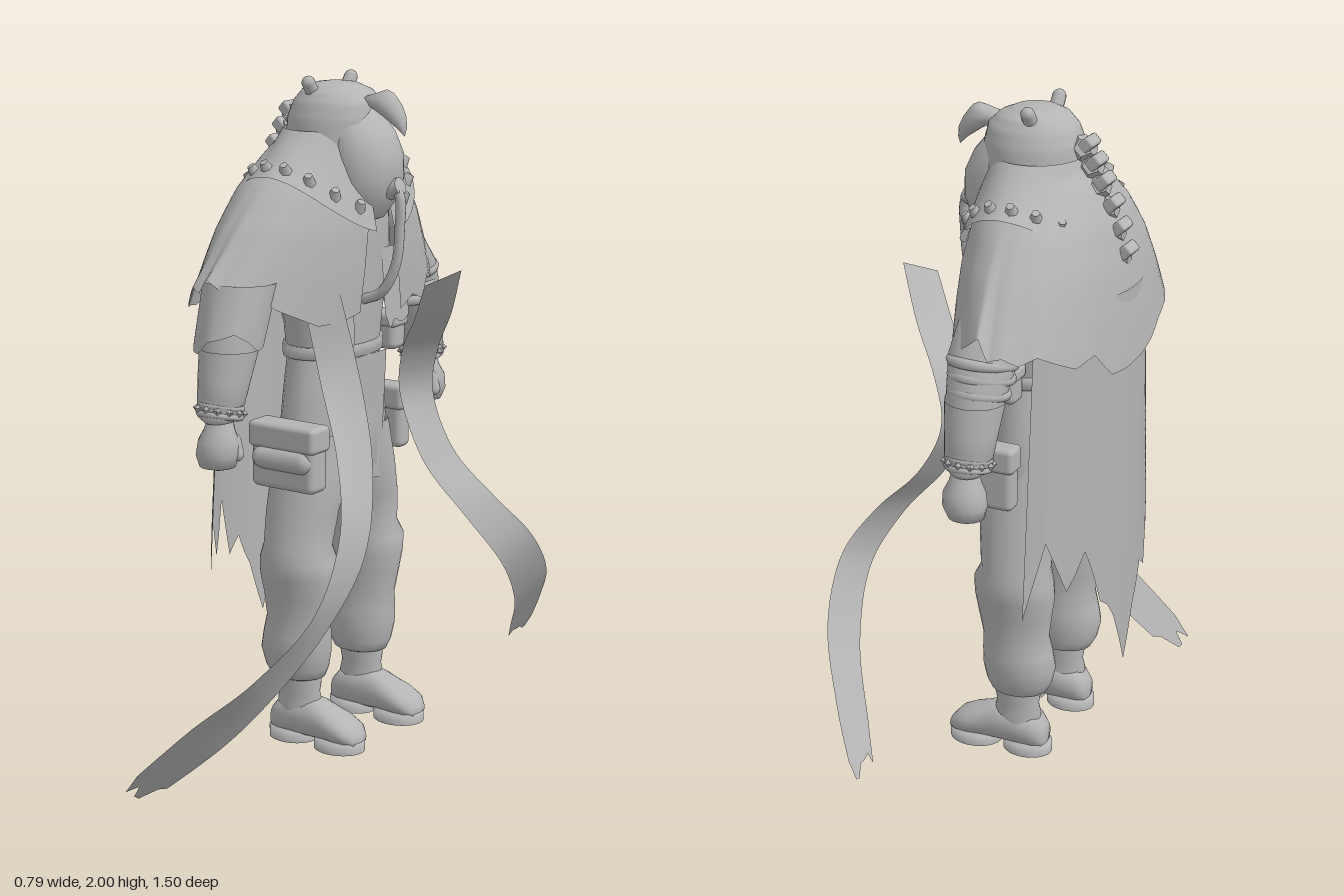
import * as THREE from 'three';
import { RoundedBoxGeometry } from 'three/addons/geometries/RoundedBoxGeometry.js';

const V = (a) => new THREE.Vector3(...a);
const lerp = THREE.MathUtils.lerp;
// Repeatable ragged value 0..1 with straight teeth between hashed points
const hash = (n) => { const s = Math.sin(n * 127.1 + 3.7) * 43758.5453; return s - Math.floor(s); };
const jag = (t) => { const i = Math.floor(t); return lerp(hash(i), hash(i + 1), t - i); };

// Surface from f(u, v) -> [x, y, z]; closed joins u = 1 to u = 0
function grid(nu, nv, f, closed = false) {
  const pos = [], idx = [], cols = closed ? nu : nu + 1;
  for (let j = 0; j <= nv; j++)
    for (let i = 0; i < cols; i++) pos.push(...f(i / nu, j / nv));
  for (let j = 0; j < nv; j++)
    for (let i = 0; i < nu; i++) {
      const a = j * cols + i, b = j * cols + ((i + 1) % cols), c = a + cols, d = b + cols;
      idx.push(a, b, c, b, d, c);
    }
  const g = new THREE.BufferGeometry();
  g.setAttribute('position', new THREE.Float32BufferAttribute(pos, 3));
  g.setIndex(idx);
  g.computeVertexNormals();
  return g;
}

// Linear interpolation through rows of values
function sample(rows, t) {
  const k = Math.min(t * (rows.length - 1), rows.length - 1.0001), i = Math.floor(k);
  return rows[i].map((a, n) => lerp(a, rows[i + 1][n], k - i));
}

// Elliptical loft through sections [y, centreX, centreZ, radiusX, radiusZ]
function loft(rows, sides = 28) {
  return grid(sides, rows.length - 1, (u, v) => {
    const [y, cx, cz, rx, rz] = rows[Math.round(v * (rows.length - 1))], a = u * Math.PI * 2;
    return [cx + rx * Math.cos(a), y, cz + rz * Math.sin(a)];
  }, true);
}

// Torn ribbon along points, each with its half-width vector
function ribbon(points, widths, seed) {
  const path = new THREE.CatmullRomCurve3(points.map(V)), wide = new THREE.CatmullRomCurve3(widths.map(V));
  return grid(12, 60, (u, v) => {
    const t = v * (1 - 0.06 * jag(u * 6 + seed));
    return path.getPoint(t).addScaledVector(wide.getPoint(t), u * 2 - 1).toArray();
  });
}

export function createModel() {
  const root = new THREE.Group();
  const grey = new THREE.MeshStandardMaterial({ color: 0xb4b4b4, side: THREE.DoubleSide });
  grey.name = 'plain grey';
  const add = (name, geo, p = [0, 0, 0], r = [0, 0, 0], parent = root) => {
    const m = new THREE.Mesh(geo, grey);
    m.name = name;
    m.position.set(...p);
    m.rotation.set(...r);
    parent.add(m);
    return m;
  };

  // Body
  add('torso', loft([[1.18, -.08, 0, .115, .16], [1.3, -.08, 0, .12, .18], [1.5, -.1, 0, .15, .23],
    [1.65, -.1, 0, .15, .22], [1.75, -.09, 0, .11, .15], [1.8, -.08, 0, 0, 0]]));
  add('hips', loft([[.76, -.08, 0, 0, 0], [.79, -.08, 0, .07, .15], [.86, -.08, 0, .115, .2], [1, -.08, 0, .12, .205],
    [1.12, -.08, 0, .115, .185], [1.22, -.08, 0, .11, .165]]));
  add('belt', loft([[1.2, -.08, 0, .11, .16], [1.2, -.08, 0, .125, .18], [1.235, -.08, 0, .125, .18], [1.235, -.08, 0, .11, .16]]));

  // Rounded boot upper from sections [x, top, halfWidth]
  const bootRows = [[-.182, .1, .0], [-.178, .14, .035], [-.15, .17, .055], [-.08, .185, .06], [-.02, .182, .058], [.02, .165, .06],
    [.06, .15, .064], [.1, .13, .056], [.122, .105, .035], [.128, .085, 0]];
  const bootGeo = grid(20, bootRows.length - 1, (u, v) => {
    const [x, top, w] = bootRows[Math.round(v * (bootRows.length - 1))], a = u * Math.PI * 2, h = (top - .065) / 2;
    return [x, .065 + h + h * Math.sin(a), w * Math.sign(Math.cos(a)) * Math.pow(Math.abs(Math.cos(a)), .75)];
  }, true);
  const pad = (x, rx, rz) => loft([[.045, x, 0, 0, 0], [.045, x, 0, rx, rz], [.045, x, 0, rx, rz], [.078, x, 0, rx, rz], [.08, x, 0, 0, 0]]);

  for (const s of [1, -1]) {
    const side = s < 0 ? 'left' : 'right';
    // Legs and boots
    add(side + 'Trouser', loft([[.24, -.09, s * .158, .05, .045], [.25, -.095, s * .158, .085, .068], [.28, -.097, s * .16, .1, .08],
      [.33, -.098, s * .163, .11, .09], [.38, -.093, s * .164, .106, .087], [.43, -.088, s * .164, .1, .081], [.5, -.085, s * .165, .112, .086],
      [.56, -.085, s * .168, .121, .096], [.61, -.083, s * .17, .119, .102], [.65, -.088, s * .166, .104, .093], [.75, -.083, s * .15, .11, .098],
      [.85, -.08, s * .12, .118, .1], [.98, -.08, s * .1, .11, .09]]));
    add(side + 'Ankle', loft([[.12, -.09, s * .157, .07, .052], [.17, -.09, s * .157, .072, .05], [.2, -.09, s * .157, .065, .045], [.23, -.09, s * .157, .07, .05], [.27, -.09, s * .157, .066, .046]]));
    add(side + 'Boot', bootGeo, [0, 0, s * .153]);
    add(side + 'Heel', pad(-.12, .075, .06), [0, 0, s * .153]);
    add(side + 'Sole', pad(.05, .08, .067), [0, 0, s * .153]);

    // Arms, bracers and fists
    add(side + 'Arm', loft([[1.6, -.11, s * .24, .07, .05], [1.5, -.11, s * .335, .095, .08], [1.4, -.11, s * .405, .1, .092], [1.3, -.105, s * .445, .085, .08],
      [1.22, -.105, s * .475, .075, .07], [1.1, -.105, s * .505, .062, .06], [1.08, -.105, s * .508, .04, .04]]));
    add(side + 'Bracer', loft([[1.28, -.105, s * .456, .086, .08], [1.2, -.105, s * .478, .076, .073], [1.13, -.105, s * .495, .068, .064], [1.13, -.105, s * .495, .05, .05]]));
    add(side + 'Hand', loft([[1.1, -.1, s * .505, .035, .032], [1.06, -.1, s * .51, .045, .042], [1.03, -.1, s * .514, .06, .055],
      [.99, -.102, s * .516, .063, .06], [.955, -.105, s * .514, .052, .048], [.94, -.105, s * .512, 0, 0]], 16));
    add(side + 'Thumb', new THREE.CapsuleGeometry(.02, .04, 4, 10), [-.06, 1.01, s * .49], [0, 0, .25]);
    const wrist = new THREE.Group();
    wrist.name = side + 'Bracelet';
    wrist.position.set(-.105, 1.11, s * .498);
    wrist.rotation.x = -s * .22;
    root.add(wrist);
    for (const y of [-.012, .012]) add('band', new THREE.TorusGeometry(.058, .01, 8, 24), [0, y, 0], [Math.PI / 2, 0, 0], wrist);
    for (let i = 0; i < 12; i++) {
      const a = i / 12 * Math.PI * 2;
      add('bead', new THREE.OctahedronGeometry(.012), [.066 * Math.cos(a), 0, .066 * Math.sin(a)], [0, -a, 0], wrist);
    }

    // Short horns on the hood
    add(side + 'Horn', new THREE.CapsuleGeometry(.02, .06, 4, 12), [-.09, 1.955, s * .085], [s * .6, 0, 0]);
  }

  // Elbow rings on one arm, torn sleeve on the other
  for (const [y, z, r] of [[1.375, -.41, .086], [1.335, -.42, .08], [1.295, -.437, .074]])
    add('elbowRing', new THREE.TorusGeometry(r, .016, 8, 28), [-.107, y, z], [Math.PI / 2 + .2, 0, 0]);
  add('tornSleeve', grid(48, 6, (u, v) => {
    const a = u * Math.PI * 2, y = lerp(1.46, 1.27 + .08 * jag((u % 1) * 16), v);
    return [-.11 + lerp(.11, .1, v) * Math.cos(a), y, lerp(.395, .45, v) + .096 * Math.sin(a)];
  }));

  // Shoulder mantle with ragged hem, open at the front
  const mantleRows = [[1.83, -.09, .13, .15], [1.77, -.11, .155, .22], [1.69, -.12, .195, .315], [1.6, -.13, .222, .395], [1.52, -.14, .235, .455], [1.45, -.15, .243, .51]];
  add('mantle', grid(144, 20, (u, v) => {
    const gap = lerp(.1, .2, v), a = lerp(gap, Math.PI * 2 - gap, u), c = Math.cos(a);
    const [y, cx, rx, rz] = sample(mantleRows, v);
    const drop = Math.pow(v, 3) * (.13 * c * c + .07 * (jag(u * 36) - .4));
    // Slightly pointed toward the shoulders
    return [cx + rx * c * Math.pow(Math.abs(c), .15 * v), y - drop, rz * Math.sin(a)];
  }));

  // Studded collar lying on the mantle, dipping lowest at the throat
  const collarAt = (a, v) => {
    const c = Math.cos(a), dip = (c > 0 ? .17 : .13) * c * c;
    return [lerp(-.085, -.095, v) + lerp(.13, .22, v) * c, lerp(1.85, 1.735 - dip, v) - .02 * v * (1 - v), lerp(.15, .295, v) * Math.sin(a)];
  };
  add('collar', grid(72, 8, (u, v) => collarAt(lerp(.22, Math.PI * 2 - .22, u), v)));
  for (let i = 0; i < 18; i++) {
    const a = lerp(.42, Math.PI * 2 - .42, i / 17), [x, y, z] = collarAt(a, .8);
    add('collarStud', new THREE.CylinderGeometry(.012, .02, .03, 6), [x, y + .008, z], [.6 * Math.sin(a), 0, -.6 * Math.cos(a)]);
  }

  // Knobbly spine ridge down the back
  const spine = new THREE.CatmullRomCurve3([[-.21, 1.87, 0], [-.25, 1.79, 0], [-.295, 1.69, 0], [-.33, 1.58, 0]].map(V));
  for (let i = 0; i < 6; i++) {
    const p = spine.getPoint(i / 5);
    add('vertebra', new THREE.DodecahedronGeometry(.042 - .002 * i), p.toArray(), [0, 0, -.8 + .07 * i]);
    add('spineKnob', new RoundedBoxGeometry(.035, .045, .065, 1, .008), [p.x - .018, p.y + .018, 0], [0, 0, .8]);
  }

  // Hood open around the face; rows are [y, centreX, radiusX, radiusZ, frontGap]
  const hoodRows = [[1.982, -.07, 0, 0, 0], [1.974, -.068, .06, .06, 0], [1.955, -.064, .1, .1, 0], [1.925, -.062, .128, .122, 0], [1.88, -.065, .142, .138, .45],
    [1.82, -.067, .145, .145, .68], [1.76, -.075, .148, .152, .75], [1.7, -.085, .15, .158, .85], [1.6, -.09, .15, .16, .8]];
  add('hood', grid(48, 32, (u, v) => {
    const [y, cx, rx, rz, gap] = sample(hoodRows, v), a = lerp(gap, Math.PI * 2 - gap, u);
    return [cx + rx * Math.cos(a), y, rz * Math.sin(a)];
  }));

  // Masked face, beak and breathing hose
  add('mask', loft([[1.58, .03, 0, 0, 0], [1.6, .03, 0, .055, .06], [1.65, .035, 0, .085, .1], [1.71, .035, 0, .105, .118], [1.78, .03, 0, .108, .12],
    [1.84, .015, 0, .095, .112], [1.9, -.01, 0, .07, .09], [1.94, -.03, 0, 0, 0]]));
  add('beak', loft([[1.837, .168, 0, 0, 0], [1.86, .158, 0, .014, .016], [1.89, .135, 0, .034, .03], [1.92, .1, 0, .055, .038], [1.94, .085, 0, .055, .035], [1.955, .103, 0, .024, .02], [1.965, .108, 0, 0, 0]], 16));
  add('mouthpiece', new THREE.CylinderGeometry(.025, .03, .04, 16), [.135, 1.69, 0], [0, 0, -1.2]);
  add('hose', new THREE.TubeGeometry(new THREE.CatmullRomCurve3([[.13, 1.69, 0], [.155, 1.67, .005], [.158, 1.58, .008],
    [.145, 1.47, .01], [.1, 1.39, .015], [.03, 1.36, .015]].map(V)), 40, .015, 10));

  // Long back cape with torn bottom
  const hem = [[.62], [.82], [.66], [.78], [.6], [.52], [.33], [.5], [.62], [.56], [.74], [.6], [.76], [.58]];
  add('cape', grid(78, 24, (u, v) => {
    const s = u * 2 - 1, y = lerp(1.5, sample(hem, u)[0] + .03 * jag(u * 26) - .015, v);
    return [-.372 + .15 * s * s, y, s * lerp(.33, .405, v)];
  }));
  // Tunic tatters hanging at the front
  add('loincloth', grid(16, 10, (u, v) => [.045 - .02 * v, lerp(1.2, .72 + .2 * Math.abs(u - .4) + .08 * jag(u * 8), v), lerp(-.09, .1, u)]));
  for (const [z, w, low] of [[.15, .07, 1.22], [-.13, .06, 1.24]])
    add('chestFlap', grid(10, 6, (u, v) => [lerp(.04, .055, v), lerp(1.5, low + .12 * jag(u * 5 + z * 30), v), z + (u * 2 - 1) * w]));

  // Trailing ribbons
  add('rightRibbon', ribbon([[.05, 1.42, .24], [.085, 1.18, .2], [.175, .95, .25], [.265, .75, .39], [.265, .57, .54], [.16, .4, .64], [-.02, .22, .69], [-.26, .005, .72]],
    [[-.025, 0, .055], [-.025, 0, .06], [-.015, .02, .065], [0, .04, .06], [.015, .035, .052], [-.005, .025, .052], [-.025, .03, .047], [-.02, .025, .035]], 3));
  add('leftRibbon', ribbon([[.3, 1.45, 0], [.22, 1.32, -.07], [.13, 1.2, -.14], [.1, 1.07, -.165], [.19, .89, -.15], [.315, .75, -.18], [.38, .62, -.27], [.34, .46, -.43], [.22, .3, -.6], [.105, .16, -.74]],
    [[.035, .02, -.04], [.035, .01, -.045], [.03, 0, -.05], [.028, 0, -.045], [.02, .01, -.05], [.02, .02, -.05], [.02, .035, -.05], [.025, .04, -.05], [.025, .04, -.045], [.02, .03, -.03]], 11));

  // Belt pouches
  const pouch = (name, size, p) => {
    add(name, new RoundedBoxGeometry(...size, 3, .02), p);
    add(name + 'Flap', new RoundedBoxGeometry(size[0] + .012, size[1] * .4, size[2] + .012, 3, .015), [p[0], p[1] + size[1] * .32, p[2]]);
  };
  pouch('rightPouch', [.22, .19, .08], [-.055, .935, .25]);
  add('rightPouchRoll', new THREE.CapsuleGeometry(.035, .14, 4, 14), [-.055, .93, .275], [0, 0, Math.PI / 2]);
  pouch('leftPouch', [.13, .19, .06], [-.06, .96, -.25]);
  pouch('leftBeltPouch', [.13, .11, .07], [-.05, 1.23, -.205]);
  return root;
}
